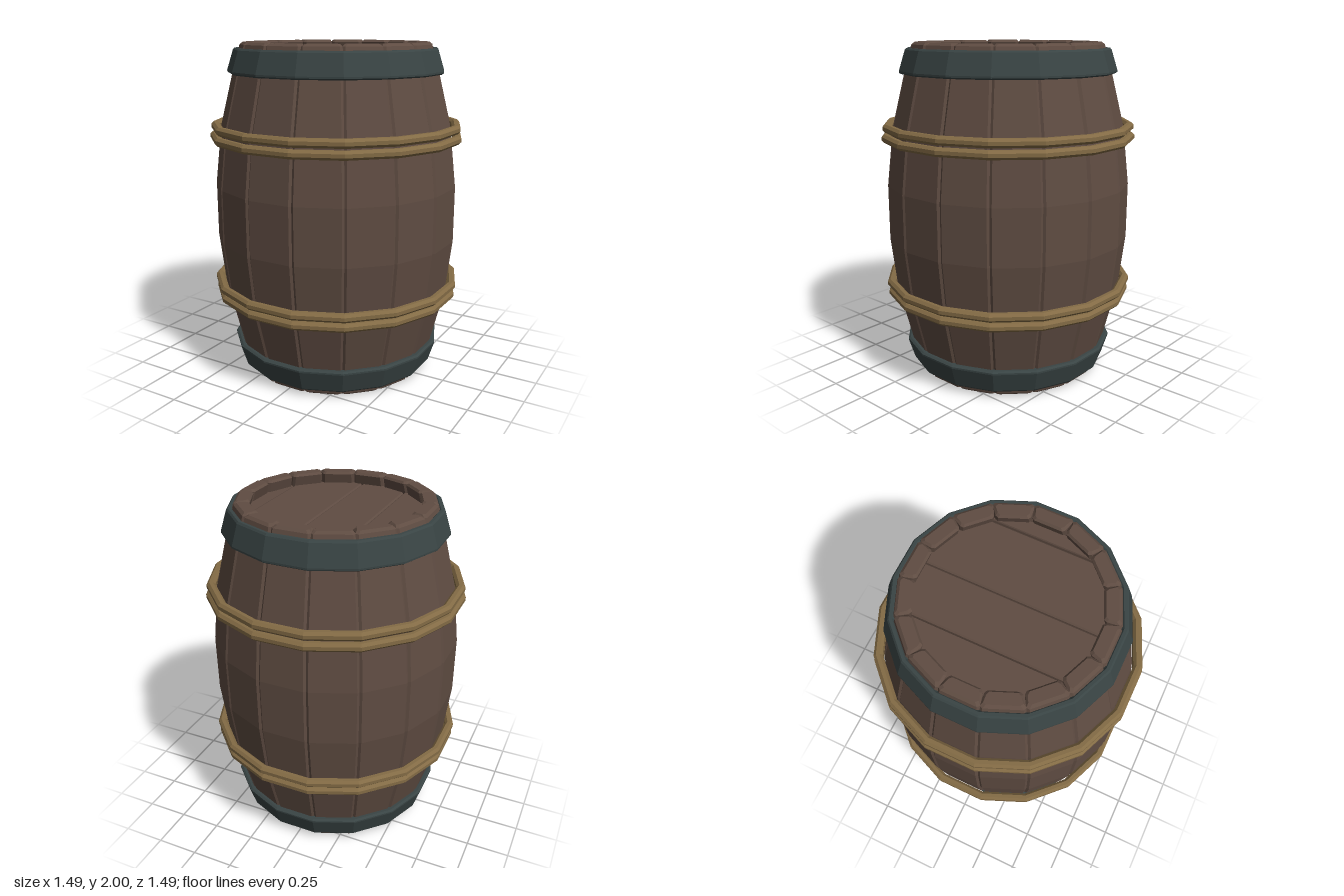
import * as THREE from 'three';

const SIDES = 16;
const HALF = Math.PI / SIDES;
const BEVEL = 0.013;

// Chamfered cross-section of one stave: a = distance of the outer face, inset shrinks it at the ends
function staveSection(a, inset) {
  const outer = a - inset, inner = a - 0.09 + inset;
  const w = r => r * Math.tan(HALF) - 0.001 - inset;
  const right = [
    [w(outer) - BEVEL, outer], [w(outer), outer - BEVEL],
    [w(inner), inner + BEVEL], [w(inner) - BEVEL, inner],
  ];
  const left = right.map(([x, z]) => [-x, z]).reverse();
  return [...right, ...left];
}

// Bowed plank lofted through sections along the barrel height
function staveGeometry() {
  const rows = [
    [0, 0.557, BEVEL], [BEVEL, 0.56, 0], [0.19, 0.607, 0], [0.5, 0.683, 0], [0.84, 0.722, 0],
    [1.17, 0.722, 0], [1.51, 0.683, 0], [1.82, 0.607, 0], [2 - BEVEL, 0.56, 0], [2, 0.557, BEVEL],
  ];
  const positions = [], index = [], n = 8;
  rows.forEach(([y, a, inset]) => staveSection(a, inset).forEach(([x, z]) => positions.push(x, y, z)));
  for (let j = 0; j < rows.length - 1; j++) {
    for (let i = 0; i < n; i++) {
      const p = j * n + i, q = j * n + (i + 1) % n;
      index.push(p, q, q + n, p, q + n, p + n);
    }
  }
  const top = (rows.length - 1) * n;
  for (let i = 1; i < n - 1; i++) {
    index.push(top, top + i, top + i + 1, 0, i + 1, i);
  }
  const g = new THREE.BufferGeometry();
  g.setAttribute('position', new THREE.Float32BufferAttribute(positions, 3));
  g.setIndex(index);
  g.computeVertexNormals();
  return g;
}

// Sixteen-sided ring from a closed profile of [face distance, y]
function ringGeometry(profile) {
  const pts = [...profile, profile[0]].map(([r, y]) => new THREE.Vector2(r / Math.cos(HALF), y));
  return new THREE.LatheGeometry(pts, SIDES, HALF);
}

// Plank cut out of a disc between two x positions
function lidPlank(x0, x1, radius, thickness) {
  const gap = 0.002, b = 0.008;
  const l = x0 + gap + b, r = x1 - gap - b;
  const points = [], steps = 8;
  for (let i = 0; i <= steps; i++) {
    const x = l + (r - l) * i / steps;
    points.push(new THREE.Vector2(x, -Math.sqrt(Math.max(0, radius * radius - x * x))));
  }
  for (let i = steps; i >= 0; i--) points.push(new THREE.Vector2(points[i].x, -points[i].y));
  const g = new THREE.ExtrudeGeometry(new THREE.Shape(points), {
    depth: thickness - 2 * b, bevelEnabled: true, bevelSize: b, bevelThickness: b, bevelSegments: 1,
  });
  g.translate(0, 0, -thickness / 2 + b);
  g.rotateX(-Math.PI / 2);
  return g;
}

export function createModel() {
  const model = new THREE.Group();
  model.name = 'barrel';
  const material = (name, color) => {
    const m = new THREE.MeshStandardMaterial({ color });
    m.name = name;
    m.flatShading = true;
    return m;
  };
  const wood = material('brown wood', 0x5f4c42);
  const metal = material('dark iron', 0x394444);
  const rope = material('tan rope', 0x836b45);

  const add = (name, geometry, mat, parent = model) => {
    const mesh = new THREE.Mesh(geometry, mat);
    mesh.name = name;
    parent.add(mesh);
    return mesh;
  };

  // Staves
  const staves = new THREE.Group();
  staves.name = 'staves';
  model.add(staves);
  const stave = staveGeometry();
  for (let i = 0; i < SIDES; i++) {
    add('stave', stave, wood, staves).rotation.y = i * 2 * HALF;
  }

  // Recessed planked lids at both ends
  const seams = [-0.5, -0.25, 0.04, 0.41, 0.5];
  for (const [name, y] of [['topLid', 1.91], ['bottomLid', 0.09]]) {
    const lid = new THREE.Group();
    lid.name = name;
    lid.position.y = y;
    model.add(lid);
    for (let i = 0; i < seams.length - 1; i++) {
      add('lidPlank', lidPlank(seams[i], seams[i + 1], 0.515, 0.04), wood, lid);
    }
  }

  // Iron end hoops, flaring towards the middle; d = distance from the barrel end
  const hoop = [
    [0.622, 0.182], [0.634, 0.174], [0.634, 0.164], [0.597, 0.046],
    [0.588, 0.036], [0.572, 0.036], [0.55, 0.06], [0.585, 0.182],
  ];
  add('topHoop', ringGeometry(hoop.map(([r, d]) => [r, 2.003 - d])), metal);
  add('bottomHoop', ringGeometry(hoop.map(([r, d]) => [r, 0.006 + d]).reverse()), metal);

  // Paired rope bands, the inner one of each pair slightly wider
  for (const [r, y] of [[0.714, 1.511], [0.721, 1.451], [0.721, 0.56], [0.714, 0.5]]) {
    const section = [];
    for (let i = 0; i < 8; i++) {
      const t = (i + 0.5) * Math.PI / 4;
      section.push([r + 0.027 * Math.cos(t), y + 0.027 * Math.sin(t)]);
    }
    add('ropeBand', ringGeometry(section), rope);
  }

  return model;
}
